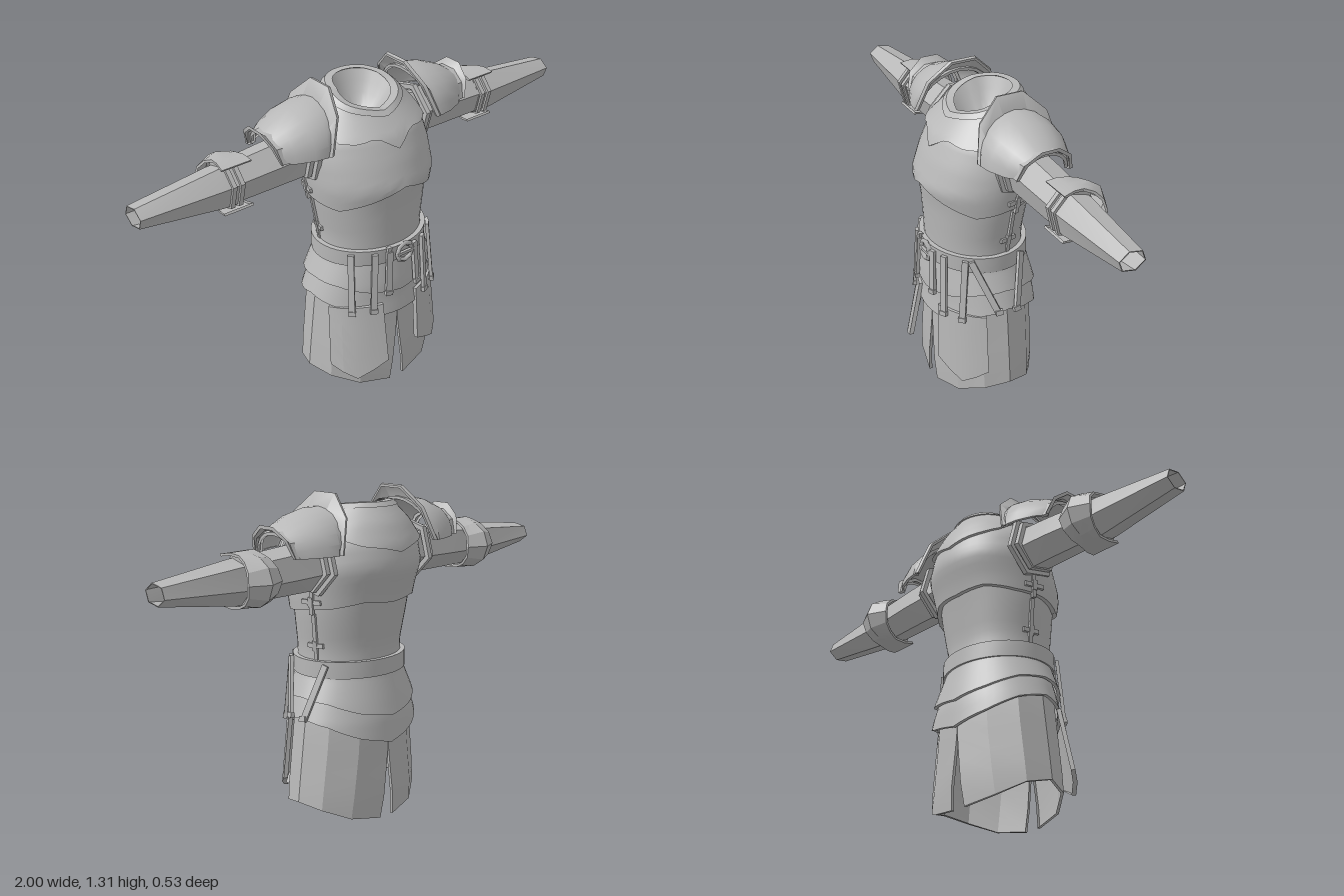
import * as THREE from 'three';
import { toCreasedNormals } from 'three/addons/utils/BufferGeometryUtils.js';

const steel = new THREE.MeshStandardMaterial({ color: 0xb8b8b8, side: THREE.DoubleSide });
steel.name = 'grey steel';

const { lerp, clamp } = THREE.MathUtils;
const PI = Math.PI;

// Body cross-sections: height, half width, front z, back z
const BODY = [
  [0.0, 0.3, 0.2, -0.2], [0.1, 0.3, 0.205, -0.21], [0.42, 0.262, 0.195, -0.205],
  [0.5, 0.248, 0.2, -0.195], [0.6, 0.225, 0.2, -0.18], [0.7, 0.228, 0.207, -0.18],
  [0.84, 0.255, 0.22, -0.21], [0.93, 0.265, 0.238, -0.232], [1.03, 0.268, 0.205, -0.266],
  [1.12, 0.25, 0.165, -0.25], [1.2, 0.185, 0.095, -0.215], [1.27, 0.115, 0.06, -0.165],
];

// Point on the body at angle a (0 = front, PI / 2 = left), height y, pushed out by off
function body(a, y, off = 0) {
  let i = 0;
  while (i < BODY.length - 2 && y > BODY[i + 1][0]) i++;
  const t = clamp((y - BODY[i][0]) / (BODY[i + 1][0] - BODY[i][0]), 0, 1);
  const [, w, f, b] = BODY[i].map((v, k) => lerp(v, BODY[i + 1][k], t));
  return [(w + off) * Math.sin(a), y, (f + b) / 2 + ((f - b) / 2 + off) * Math.cos(a)];
}

// Height along an edge, mirrored left to right; values run evenly from front to back
function edge(values) {
  return (a) => {
    const s = (Math.acos(clamp(Math.cos(a), -1, 1)) / PI) * (values.length - 1);
    const i = Math.min(Math.floor(s), values.length - 2);
    return lerp(values[i], values[i + 1], s - i);
  };
}

function mesh(name, geometry) {
  const m = new THREE.Mesh(geometry, steel);
  m.name = name;
  return m;
}

// Surface f(u, v, off) whose borders turn inward by the thickness
function sheet(name, nu, nv, f, { round = false, thick = 0.014, crease = 0.5 } = {}) {
  const pos = [], index = [];
  const i0 = round ? 0 : -1, i1 = round ? nu : nu + 1, rows = nv + 3;
  for (let i = i0; i <= i1; i++) {
    for (let j = -1; j <= nv + 1; j++) {
      const border = j < 0 || j > nv || i < 0 || i > nu;
      pos.push(...f(clamp(i / nu, 0, 1), clamp(j / nv, 0, 1), border ? -thick : 0));
    }
  }
  for (let i = 0; i < i1 - i0; i++) {
    for (let j = 0; j < rows - 1; j++) {
      const a = i * rows + j, b = a + rows;
      index.push(a, a + 1, b, b, a + 1, b + 1);
    }
  }
  const g = new THREE.BufferGeometry();
  g.setAttribute('position', new THREE.Float32BufferAttribute(pos, 3));
  g.setIndex(index);
  return mesh(name, toCreasedNormals(g, crease));
}

// Closed plate around the body between two edges
function plate(name, top, bottom, offTop, offBottom, thick = 0.014, nv = 8) {
  return sheet(name, 48, nv, (u, v, off) => {
    const a = u * 2 * PI;
    return body(a, lerp(top(a), bottom(a), v), lerp(offTop, offBottom, v) + off);
  }, { round: true, thick });
}

// Faceted sleeve along x; sections hold x, y, z, y radius, z radius
function sleeve(name, sections, thick = 0.004) {
  const n = sections.length - 1;
  return sheet(name, 6, n, (u, v, off) => {
    const [x, y, z, ry, rz] = sections[Math.round(v * n)];
    const a = u * 2 * PI + 0.25;
    return [x, y + (ry + off) * Math.sin(a), z + (rz + off) * Math.cos(a)];
  }, { round: true, thick, crease: 0.2 });
}

// Flat bar from p to q whose broad face looks along angle a
function bar(name, p, q, width, depth, a) {
  const P = new THREE.Vector3(...p), Q = new THREE.Vector3(...q);
  const dir = Q.clone().sub(P), length = dir.length();
  dir.normalize();
  const side = dir.clone().cross(new THREE.Vector3(Math.sin(a), 0, Math.cos(a))).normalize();
  const m = mesh(name, new THREE.BoxGeometry(width, length, depth));
  m.quaternion.setFromRotationMatrix(
    new THREE.Matrix4().makeBasis(side, dir, side.clone().cross(dir)));
  m.position.copy(P.add(Q).multiplyScalar(0.5));
  return m;
}

// Strap hanging from the belt: top angle, bottom angle, bottom height
function strap(t, b, y) {
  const g = new THREE.Group();
  g.name = 'hangingStrap';
  g.add(bar('strapBand', body(t, 0.65, 0.024), body(b, y, 0.038), 0.025, 0.014, (t + b) / 2));
  g.add(bar('strapEnd', body(b, y, 0.04), body(b, y + 0.02, 0.04), 0.03, 0.016, b));
  return g;
}

// Arch over the shoulder; rows hold x, rise, z radius, outward lean at the low ends
function arch(name, nu, rows, thick) {
  const n = rows.length - 1;
  return sheet(name, nu, n, (u, v, off) => {
    const [x, ry, rz, lean] = rows[Math.round(v * n)];
    const a = u * PI, s = Math.sin(a);
    return [x + lean * (1 - s), 1.1 + (ry + off) * s, -0.045 + (rz + off) * Math.cos(a)];
  }, { thick, crease: 0.6 });
}

// Hanging thigh plate with a pointed lower end, swung forward by swing
function tasset(swing) {
  return sheet('thighPlate', 4, 4, (u, v, off) => {
    const a = lerp(0.3, 1.15, u);
    const y = lerp(0.41, 0.1 + 0.065 * Math.abs(2 * u - 1), v);
    const [x, , z] = body(a, y, 0.028 + off);
    return [x, y, z + swing * v];
  }, { thick: 0.018, crease: 0.25 });
}

// Everything that is the same on both sides, built on the left
function createSide() {
  const g = new THREE.Group();

  // Skirt half, slit at front and back
  g.add(sheet('skirtHalf', 6, 5, (u, v, off) => {
    const flat = lerp(0, PI, u), y = lerp(0.47, 0.005 + 0.085 * Math.sin(flat) ** 2, v);
    const slit = 0.12 * clamp((0.31 - y) / 0.31, 0, 1);
    return body(lerp(slit, PI - slit, u), y, off);
  }, { crease: 0.25, thick: 0.012 }));

  // Arm
  g.add(sleeve('upperArm', [[0.2, 1.05, -0.06, 0.1, 0.09], [0.42, 1.042, -0.06, 0.092, 0.088],
    [0.6, 1.035, -0.058, 0.086, 0.08]]));
  g.add(sleeve('forearm', [[0.58, 1.032, -0.055, 0.09, 0.08], [0.66, 1.032, -0.055, 0.086, 0.08],
    [1, 1.036, -0.055, 0.042, 0.056]]));
  for (const x of [0.585, 0.62]) {
    g.add(sleeve('elbowStrap', [[x, 1.034, -0.055, 0.1, 0.09], [x + 0.018, 1.034, -0.055, 0.1, 0.09]], 0.02));
  }

  // Elbow guard wrapped around the back, pointed at the elbow and flared at its ends
  g.add(sheet('elbowGuard', 10, 4, (u, v, off) => {
    const a = lerp(0.32, 1.68, u) * PI, s = 2 * v - 1, end = Math.abs(2 * u - 1);
    const back = Math.max(0, -Math.cos(a)) ** 2;
    const half = end < 0.6 ? lerp(0.08, 0.05, end / 0.6) : lerp(0.05, 0.064, (end - 0.6) / 0.4);
    const r = 0.098 + 0.054 * back - 0.038 * Math.abs(s) * back + 0.014 * end ** 4 + off;
    return [0.6 + s * half, 1.035 + r * Math.sin(a), -0.055 + r * Math.cos(a)];
  }, { thick: 0.01, crease: 0.4 }));

  // Armhole rims
  for (const [x, r] of [[0.255, 0.128], [0.28, 0.112]]) {
    g.add(sleeve('armholeRim', [[x, 1.055, -0.06, r, r], [x + 0.02, 1.055, -0.06, r, r]], 0.022));
  }

  // Shoulder guard: raised crest, domed shell, flared lip
  g.add(arch('shoulderCrest', 5, [[0.172, 0.222, 0.17, 0.08], [0.185, 0.226, 0.176, 0.08],
    [0.225, 0.165, 0.165, 0.055]], 0.01));
  g.add(arch('shoulderShell', 12, [[0.21, 0.165, 0.163, 0.06], [0.26, 0.164, 0.172, 0.02],
    [0.33, 0.15, 0.164, 0], [0.4, 0.122, 0.136, 0], [0.455, 0.09, 0.104, -0.02]], 0.012));
  g.add(arch('shoulderLip', 5, [[0.435, 0.1, 0.116, -0.02], [0.462, 0.098, 0.112, -0.02],
    [0.488, 0.122, 0.118, -0.04]], 0.014));

  // Side closure with two clasps
  const a = PI / 2 + 0.2;
  g.add(bar('sideSeam', body(a, 0.66, -0.008), body(a, 0.85, -0.01), 0.016, 0.014, a));
  g.add(bar('sideSeam', body(a, 0.85, 0.004), body(a, 0.95, 0.004), 0.016, 0.014, a));
  for (const [y, off] of [[0.72, -0.004], [0.9, 0.006]]) {
    g.add(bar('claspStrap', body(a - 0.18, y, off), body(a + 0.18, y, off), 0.018, 0.016, a));
    g.add(bar('claspPin', body(a, y - 0.02, off), body(a, y + 0.02, off), 0.02, 0.016, a));
  }

  g.add(strap(0.25, 0.25, 0.46), strap(0.5, 0.45, 0.385), strap(0.9, 0.76, 0.385));
  return g;
}

export function createModel() {
  const model = new THREE.Group();
  model.name = 'armour';

  // Torso plates
  const chestEdge = edge([0.93, 0.885, 0.845, 0.865, 0.875, 0.9, 0.89]);
  model.add(plate('lowerCuirass', (a) => chestEdge(a) + 0.02, () => 0.6, -0.014, -0.002));
  model.add(plate('breastplate', edge([1.19, 1.21, 1.24, 1.25]), chestEdge, 0, 0.004, 0.022, 12));
  model.add(plate('gorget', edge([1.195, 1.225, 1.262, 1.27, 1.27]),
    edge([1.075, 1.128, 1.115, 1.12, 1.18, 1.2, 1.18, 1.14, 1.12, 1.11, 1.09]), 0.008, 0.014, 0.02));

  // Neck opening: rim and the hollow lining below it
  const neckTop = [1.2, 1.23, 1.266, 1.274, 1.274];
  model.add(plate('neckRim', edge(neckTop), edge(neckTop.map((y) => y - 0.018)), 0.012, 0.016, 0.03, 1));
  model.add(sheet('neckLining', 36, 6, (u, v) => {
    const a = u * 2 * PI, [x, y, z] = body(a, edge(neckTop)(a) - 0.008, -0.006);
    return [lerp(x, 0, v), lerp(y, 1.1, Math.sin(v * PI / 2)), lerp(z, -0.05, v)];
  }, { round: true }));

  // Waist plates and belt
  model.add(plate('lowerFauld', () => 0.53, edge([0.35, 0.355, 0.41, 0.435, 0.41, 0.36, 0.325]), 0.002, 0.021));
  model.add(plate('upperFauld', () => 0.62, edge([0.455, 0.475, 0.505, 0.515, 0.5, 0.46, 0.435]), 0.004, 0.026));
  model.add(plate('belt', () => 0.662, () => 0.595, 0.015, 0.015, 0.025, 1));

  // Belt buckle
  const buckle = mesh('beltBuckle', new THREE.TorusGeometry(0.038, 0.011, 4, 8));
  buckle.position.set(0.01, 0.628, 0.226);
  model.add(buckle);
  model.add(bar('bucklePin', [-0.03, 0.628, 0.23], [0.045, 0.628, 0.23], 0.012, 0.012, 0));
  model.add(bar('beltLoop', [-0.06, 0.588, 0.214], [-0.06, 0.668, 0.214], 0.018, 0.016, 0));

  // Mirrored sides; slanted straps on the left, thigh plate swung forward on the right
  const left = createSide(), right = left.clone();
  left.name = 'leftSide';
  right.name = 'rightSide';
  right.scale.x = -1;
  left.add(tasset(0), strap(1.0, 1.36, 0.43), strap(2.02, 1.68, 0.43));
  right.add(tasset(0.04));
  model.add(left, right);
  return model;
}
